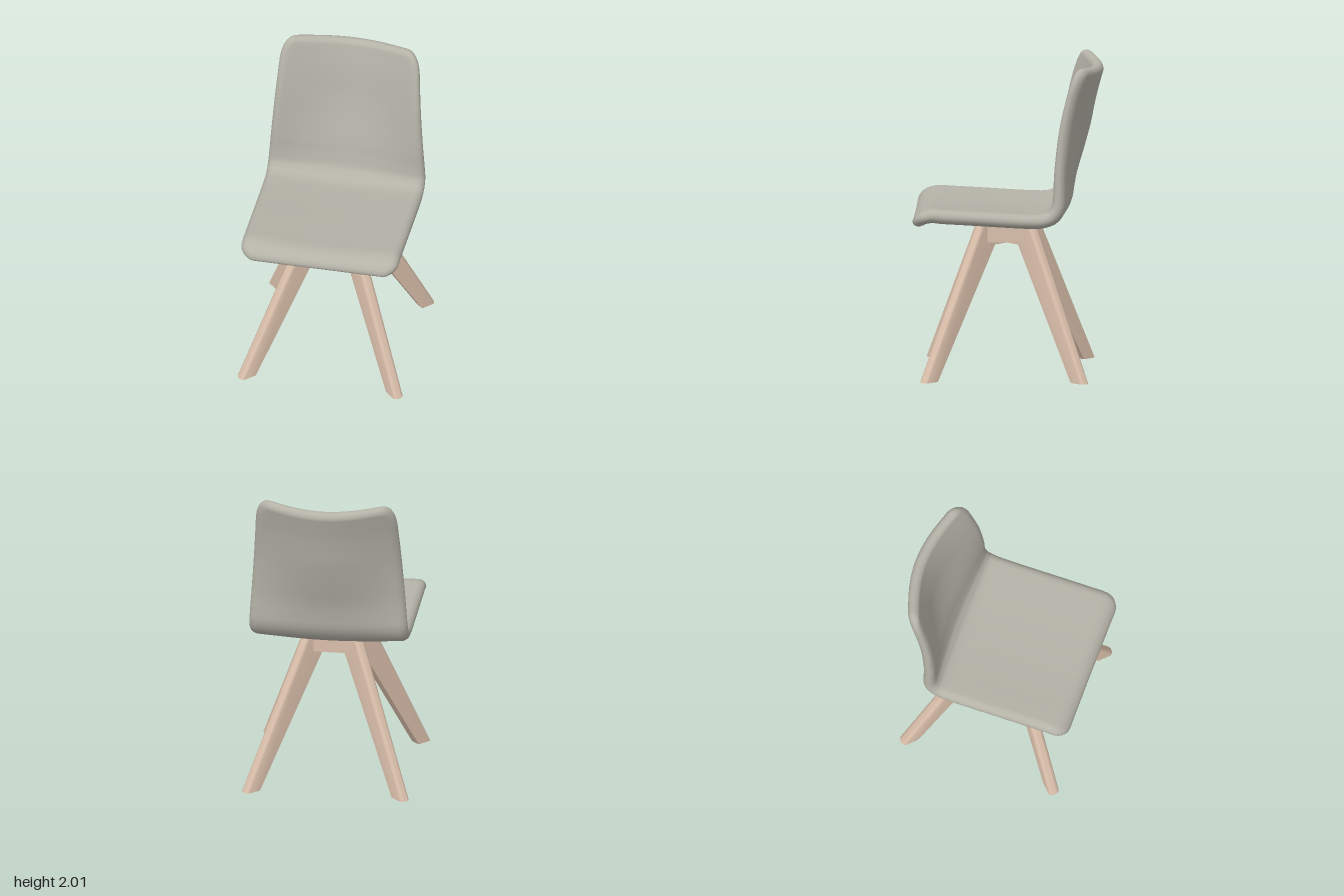
import * as THREE from 'three';
import { toCreasedNormals } from 'three/addons/utils/BufferGeometryUtils.js';

const { lerp, smoothstep, clamp } = THREE.MathUtils;

// Side profile of the shell's mid-surface as [z, y], from front lip to top of back
const PROFILE = [
  [0.566, 0.992], [0.559, 1.02], [0.534, 1.05], [0.475, 1.067], [0.4, 1.063], [0.2, 1.053],
  [0, 1.042], [-0.15, 1.036], [-0.235, 1.04], [-0.298, 1.066], [-0.331, 1.12], [-0.338, 1.2],
  [-0.338, 1.3], [-0.342, 1.4], [-0.358, 1.6], [-0.395, 1.8], [-0.434, 1.95], [-0.454, 2.017],
];

// Quarter-ellipse easing used to round off the ends of the shell
const round = (e, c) => (e >= c ? 1 : Math.sqrt(Math.max(0, 1 - (1 - e / c) ** 2)));

// Closed cross-section outline [x, depth]: flat faces with elliptical sides
function section(w, t, r) {
  const pts = [];
  const ends = 12, flats = 24;
  for (const side of [1, -1]) {
    for (let k = 0; k <= ends; k++) {
      const a = -Math.PI / 2 + (Math.PI * k) / ends;
      pts.push([side * (w - r + r * Math.cos(a)), side * t * Math.sin(a)]);
    }
    for (let k = 1; k < flats; k++) {
      pts.push([side * (w - r) * (1 - (2 * k) / flats), side * t]);
    }
  }
  return pts;
}

// Padded seat and back in one sweep, with the back bowed across its width
function shellGeometry() {
  const path = new THREE.CatmullRomCurve3(PROFILE.map(([z, y]) => new THREE.Vector3(0, y, z)));
  path.arcLengthDivisions = 1000;
  const length = path.getLength();
  const steps = 140, positions = [], indices = [];
  let count = 0;
  for (let i = 0; i <= steps; i++) {
    const u = 0.5 - 0.5 * Math.cos((Math.PI * i) / steps);
    const p = path.getPointAt(u), tan = path.getTangentAt(u);
    const e = Math.min(u, 1 - u) * length;
    const onSeat = u < 0.5;
    // Plan-view corners: short at the front lip, taller at the top of the back
    const [cornerX, cornerLength] = onSeat ? [0.11, 0.1] : [0.09, 0.16];
    const w = lerp(0.51, 0.452, clamp((p.y - 1.1) / 0.8, 0, 1)) - cornerX * (1 - round(e, cornerLength));
    const tip = round(e, 0.04);
    const thick = onSeat ? lerp(0.04, 0.046, smoothstep(e, 0, 0.2))
      : lerp(0.046, 0.039, smoothstep(p.y, 1.05, 1.25));
    const bow = onSeat ? 0.02 * Math.min(1, e / 0.15)
      : 0.02 + 0.105 * smoothstep(p.y, 1.02, 1.68);
    const ring = section(w, thick * tip, 0.055 * tip);
    count = ring.length;
    for (const [x, d] of ring) {
      const off = d + bow * Math.max(0, 1 - (x / 0.5) ** 2) ** 1.5;
      positions.push(x, p.y + tan.z * off, p.z - tan.y * off);
    }
  }
  for (let i = 0; i < steps; i++) {
    for (let j = 0; j < count; j++) {
      const a = i * count + j, b = i * count + ((j + 1) % count);
      indices.push(a, b, a + count, b, b + count, a + count);
    }
  }
  const g = new THREE.BufferGeometry();
  g.setAttribute('position', new THREE.Float32BufferAttribute(positions, 3));
  g.setIndex(indices);
  g.computeVertexNormals();
  return g;
}

// Tapered, splayed plank leg with a rounded outer edge, lying along +x
function legGeometry() {
  const half = 0.035, depth = 0.025, height = 0.985;
  const shape = new THREE.Shape();
  shape.moveTo(-1, -half);
  shape.lineTo(-depth, -half);
  for (let k = 1; k <= 12; k++) {
    const a = -Math.PI / 2 + (Math.PI * k) / 12;
    shape.lineTo(-depth + depth * Math.cos(a), half * Math.sin(a));
  }
  shape.lineTo(-1, half);
  const g = new THREE.ExtrudeGeometry(shape, { depth: height, bevelEnabled: false });
  const pos = g.attributes.position;
  for (let i = 0; i < pos.count; i++) {
    const u = pos.getX(i), t = pos.getY(i), y = pos.getZ(i);
    const inner = lerp(0.632, 0.045, y / height), outer = lerp(0.738, 0.24, y / height);
    pos.setXYZ(i, u < -0.5 ? inner : outer + u, y, -t);
  }
  return toCreasedNormals(g, 0.6);
}

export function createModel() {
  const fabric = new THREE.MeshStandardMaterial({ color: 0xb4b2a7 });
  fabric.name = 'grey upholstery';
  const wood = new THREE.MeshStandardMaterial({ color: 0xdabfab });
  wood.name = 'pale wood';

  const model = new THREE.Group();
  model.name = 'chair';
  const add = (parent, name, geometry, material) => {
    const mesh = new THREE.Mesh(geometry, material);
    mesh.name = name;
    parent.add(mesh);
    return mesh;
  };

  add(model, 'seatShell', shellGeometry(), fabric);

  const base = new THREE.Group();
  base.name = 'base';
  base.position.z = 0.01;
  model.add(base);

  // Four diagonal legs, their crossing arms, and the rails between them
  const leg = legGeometry();
  const arm = new THREE.BoxGeometry(0.14, 0.15, 0.07).translate(0.07, 0.905, 0);
  const rail = new THREE.BoxGeometry(0.24, 0.13, 0.045).translate(0, 0.915, 0.147);
  for (let i = 0; i < 4; i++) {
    const turn = (i * Math.PI) / 2;
    add(base, 'leg', leg, wood).rotation.y = turn + Math.PI / 4;
    add(base, 'legArm', arm, wood).rotation.y = turn + Math.PI / 4;
    add(base, 'rail', rail, wood).rotation.y = turn;
  }
  return model;
}
